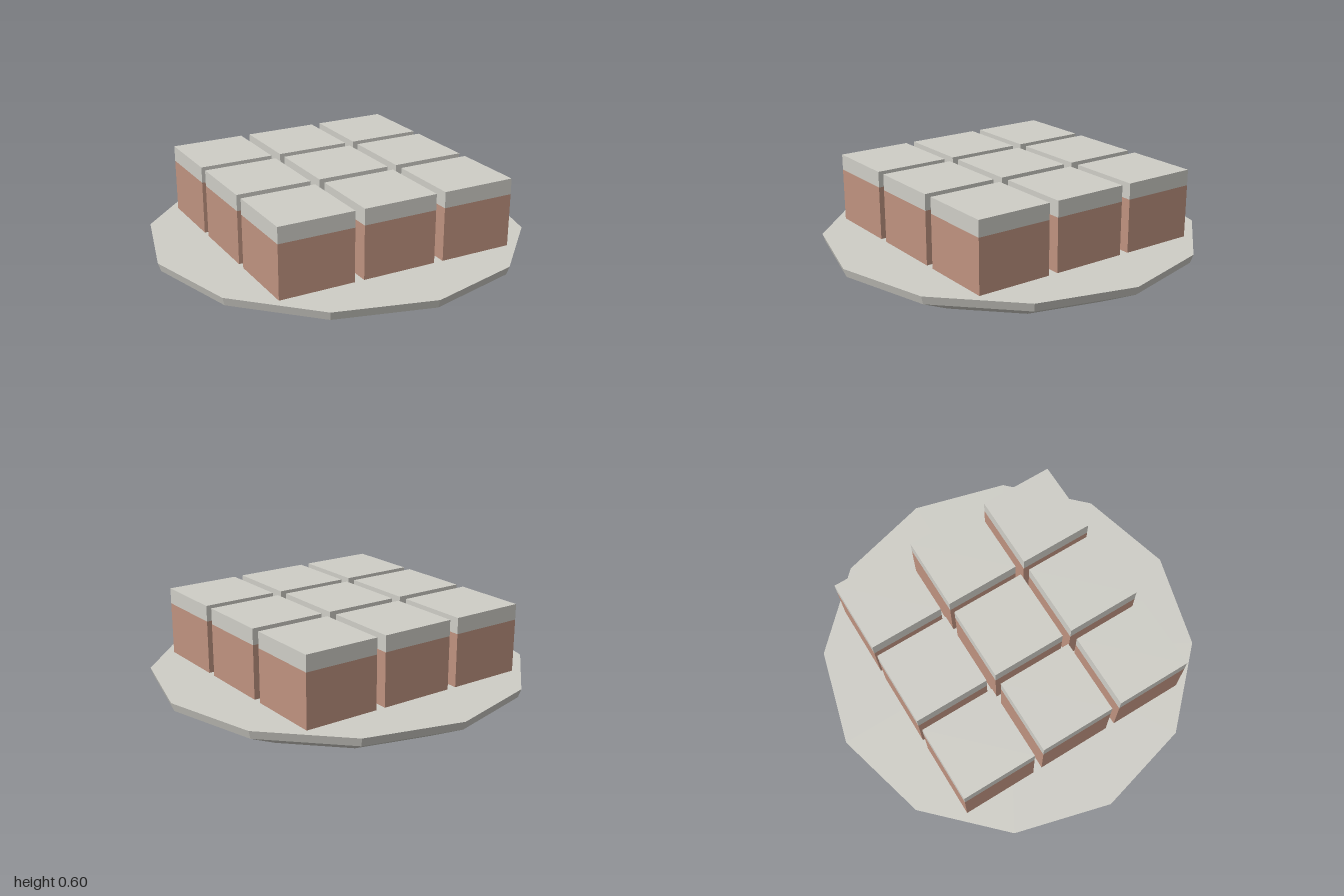
import * as THREE from 'three';

export function createModel() {
  const cream = new THREE.MeshStandardMaterial({ color: 0xcfcec7, flatShading: true });
  cream.name = 'cream';
  const sponge = new THREE.MeshStandardMaterial({ color: 0xbf9380, flatShading: true });
  sponge.name = 'sponge brown';

  const model = new THREE.Group();
  model.name = 'cakePlate';

  // Twelve-sided plate with a shallow bowl underside, a thin rim and a flat top
  const plateTop = 0.235;
  const profile = [[0, 0], [0.59, 0], [0.75, 0.07], [0.985, 0.19], [1, plateTop], [0, plateTop]]
    .map(([r, y]) => new THREE.Vector2(r, y));
  const plate = new THREE.Mesh(new THREE.LatheGeometry(profile, 12), cream);
  plate.name = 'plate';
  model.add(plate);

  // Three by three grid of cake squares, each a sponge block with icing on top
  const size = 0.4, pitch = 0.451, icingBase = 0.516, top = 0.6;
  const layer = (name, y0, y1, material) => {
    const mesh = new THREE.Mesh(new THREE.BoxGeometry(size, y1 - y0, size), material);
    mesh.position.y = (y0 + y1) / 2;
    mesh.name = name;
    return mesh;
  };
  for (let row = -1; row <= 1; row++) {
    for (let col = -1; col <= 1; col++) {
      const cake = new THREE.Group();
      cake.name = 'cakeSquare';
      cake.position.set(col * pitch, 0, row * pitch);
      cake.add(layer('spongeBlock', plateTop, icingBase, sponge));
      cake.add(layer('icing', icingBase, top, cream));
      model.add(cake);
    }
  }
  return model;
}
